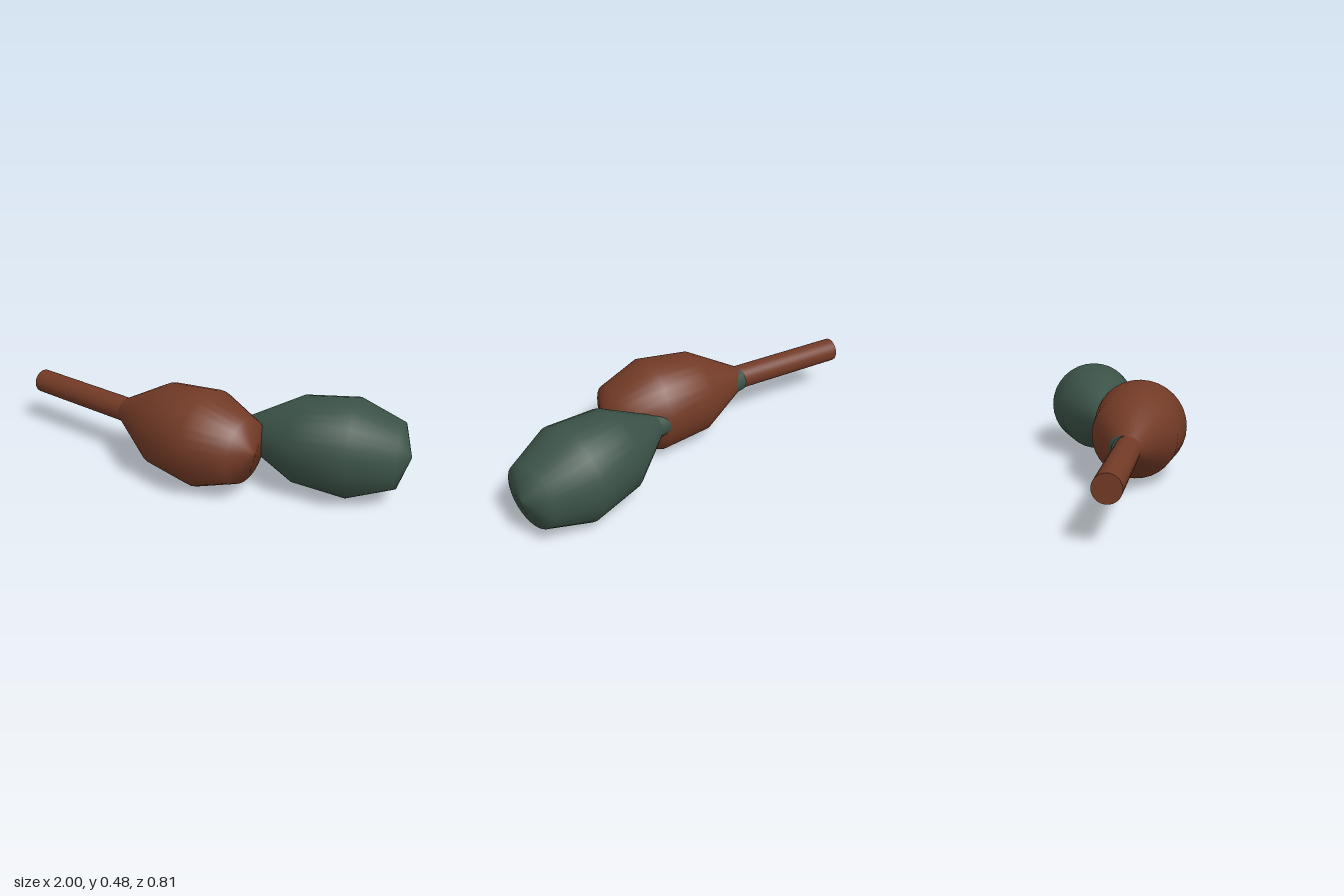
import * as THREE from 'three';

const SEGMENTS = 32;
const HANDLE_RADIUS = 0.062;
const HANDLE_LENGTH = 0.63;

// One shaker lying along +x, with its origin where the handle meets the shell
function makeShaker(name, material) {
  const shaker = new THREE.Group();
  shaker.name = name;

  // Straight round handle with flat ends
  const handle = new THREE.Mesh(
    new THREE.CylinderGeometry(HANDLE_RADIUS, HANDLE_RADIUS, HANDLE_LENGTH, SEGMENTS),
    material
  );
  handle.name = 'handle';
  handle.rotation.z = -Math.PI / 2;
  handle.position.x = -HANDLE_LENGTH / 2;

  // Hollow-looking head, turned from a five-point profile (radius, distance)
  const profile = [
    [HANDLE_RADIUS, 0],
    [0.21, 0.27],
    [0.238, 0.53],
    [0.155, 0.745],
    [0, 0.795],
  ].map(([r, d]) => new THREE.Vector2(r, d));
  const head = new THREE.Mesh(new THREE.LatheGeometry(profile, SEGMENTS), material);
  head.name = 'head';
  head.rotation.z = -Math.PI / 2;

  shaker.add(handle, head);
  return shaker;
}

export function createModel() {
  const model = new THREE.Group();
  model.name = 'shakerPair';

  const brown = new THREE.MeshStandardMaterial({ color: 0x723a26 });
  brown.name = 'reddish brown';
  const green = new THREE.MeshStandardMaterial({ color: 0x3b5247 });
  green.name = 'dark green';

  // Front shaker, straight along x
  const front = makeShaker('frontShaker', brown);
  front.position.set(-0.37, 0.238, 0.165);

  // Rear shaker, turned so its handle passes through the front head
  const rear = makeShaker('rearShaker', green);
  rear.position.set(0.237, 0.238, -0.028);
  rear.rotation.y = 0.29;

  model.add(front, rear);
  return model;
}
